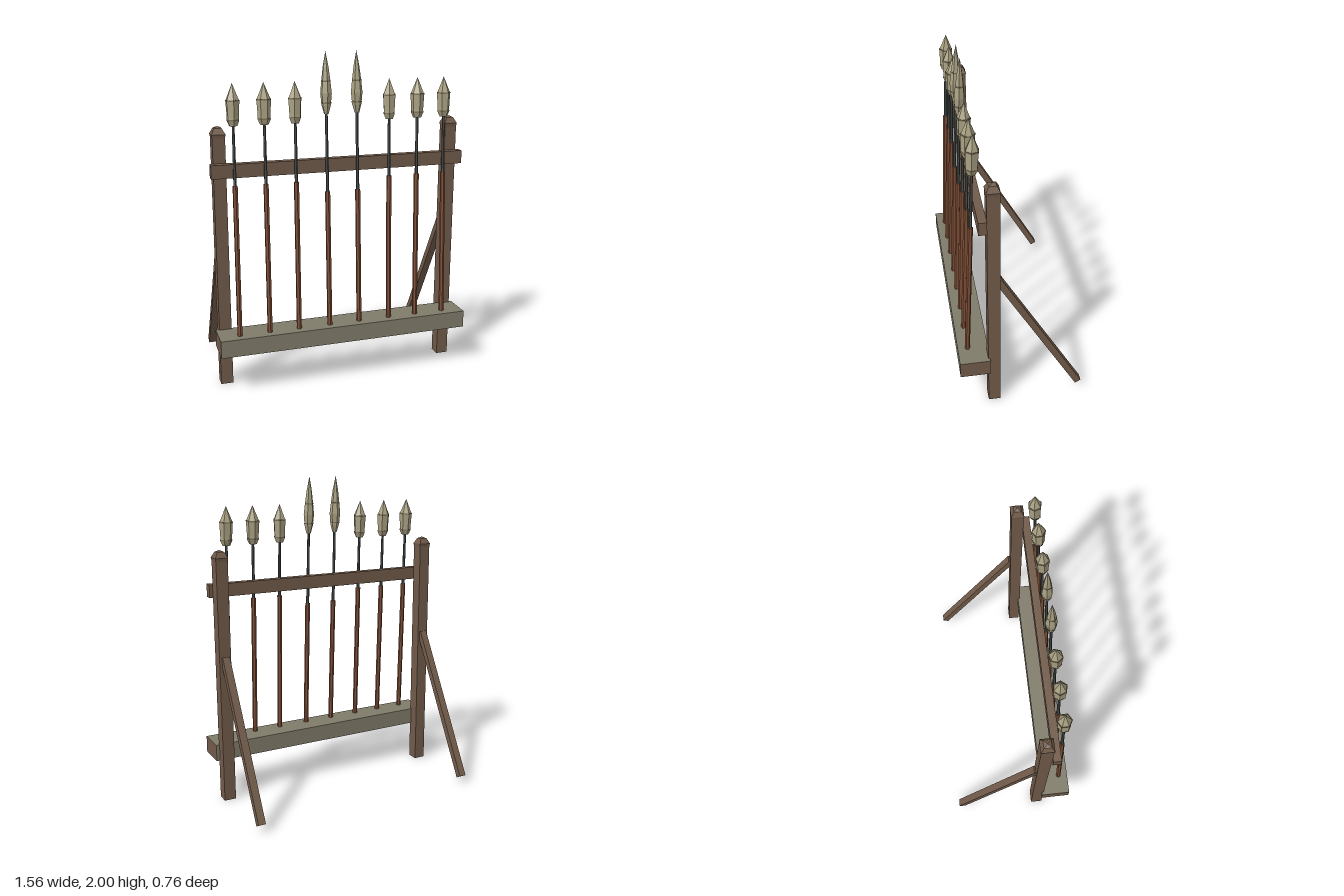
import * as THREE from 'three';

const mat = (name, color) => {
  const m = new THREE.MeshStandardMaterial({ color, flatShading: true });
  m.name = name;
  return m;
};

export function createModel() {
  const wood = mat('weathered wood', 0x715b4a);
  const plank = mat('grey plank', 0x807b6a);
  const shaftWood = mat('red shaft wood', 0x7f4f37);
  const iron = mat('dark iron', 0x4c5251);
  const blade = mat('pale blade', 0xaaa283);
  const binding = mat('binding', 0x7a6c54);

  const rack = new THREE.Group();
  rack.name = 'spearRack';

  const add = (parent, name, geometry, material, x = 0, y = 0, z = 0) => {
    const mesh = new THREE.Mesh(geometry, material);
    mesh.name = name;
    mesh.position.set(x, y, z);
    parent.add(mesh);
    return mesh;
  };
  const lathe = (points, sides) =>
    new THREE.LatheGeometry(points.map(([r, y]) => new THREE.Vector2(r, y)), sides);

  // Posts with pointed caps, each held by a slanted brace behind
  const capProfile = [[0, 0], [0.037, 0], [0.04, 0.02], [0.022, 0.055], [0, 0.065]]
    .map(([r, y]) => [r * Math.SQRT2, y]);
  const braceLow = new THREE.Vector2(-0.361, 0.045);
  const braceHigh = new THREE.Vector2(0.14, 0.93);
  const braceVec = braceHigh.clone().sub(braceLow);
  for (const side of [-1, 1]) {
    const x = side * 0.722;
    add(rack, 'post', new THREE.BoxGeometry(0.074, 1.52, 0.074), wood, x, 0.76, 0.17);
    add(rack, 'postCap', lathe(capProfile, 4), wood, x, 1.52, 0.17).rotation.y = Math.PI / 4;
    const brace = add(rack, 'brace', new THREE.BoxGeometry(0.046, braceVec.length(), 0.04), wood,
      x - side * 0.002, (braceLow.y + braceHigh.y) / 2, (braceLow.x + braceHigh.x) / 2);
    brace.rotation.x = Math.atan2(braceVec.x, braceVec.y);
  }

  // Upper rail and lower butt shelf, whose sawn ends show bare wood
  add(rack, 'upperRail', new THREE.BoxGeometry(1.56, 0.08, 0.048), wood, 0, 1.335, 0.231);
  add(rack, 'lowerShelf', new THREE.BoxGeometry(1.56, 0.106, 0.184),
    [wood, wood, plank, plank, plank, plank], 0, 0.303, 0.287);

  // Two spear kinds: broad heads and slender heads (radius, height)
  const broad = {
    joint: 1.255, base: 1.595,
    head: [[0, 1.595], [0.024, 1.597], [0.036, 1.625], [0.036, 1.65], [0.041, 1.735], [0.035, 1.75], [0, 1.835]],
    bands: [[0.036, 1.63], [0.041, 1.738]],
  };
  const slender = {
    joint: 1.185, base: 1.64,
    head: [[0, 1.64], [0.014, 1.642], [0.027, 1.69], [0.034, 1.76], [0.027, 1.83], [0.017, 1.91], [0, 2.0]],
    bands: [[0.029, 1.705], [0.027, 1.83]],
  };

  // Foot and head x of each spear; all lean back against the rail
  const spears = [
    [-0.656, -0.647, broad], [-0.473, -0.469, broad], [-0.292, -0.288, broad], [-0.098, -0.102, slender],
    [0.092, 0.085, slender], [0.287, 0.288, broad], [0.465, 0.468, broad], [0.65, 0.64, broad],
  ];
  const footY = 0.33;
  spears.forEach(([footX, headX, kind], i) => {
    const spear = new THREE.Group();
    spear.name = 'spear' + (i + 1);
    spear.position.set(footX, footY, 0.321);
    const lean = new THREE.Vector3((headX - footX) / 1.38, 1, -0.043).normalize();
    spear.quaternion.setFromUnitVectors(new THREE.Vector3(0, 1, 0), lean);
    const shaftLength = kind.joint - footY;
    const rodLength = kind.base + 0.01 - kind.joint;
    add(spear, 'shaft', new THREE.CylinderGeometry(0.0155, 0.0155, shaftLength, 6), shaftWood, 0, shaftLength / 2);
    add(spear, 'rod', new THREE.CylinderGeometry(0.008, 0.01, rodLength, 6), iron, 0, shaftLength + rodLength / 2);
    const turn = i * 0.35;
    add(spear, 'head', lathe(kind.head, 6), blade, 0, -footY).rotation.y = turn;
    for (const [r, y] of kind.bands) {
      add(spear, 'headBand', new THREE.CylinderGeometry(r + 0.001, r + 0.001, 0.008, 6), binding, 0, y - footY)
        .rotation.y = turn;
    }
    rack.add(spear);
  });

  return rack;
}
